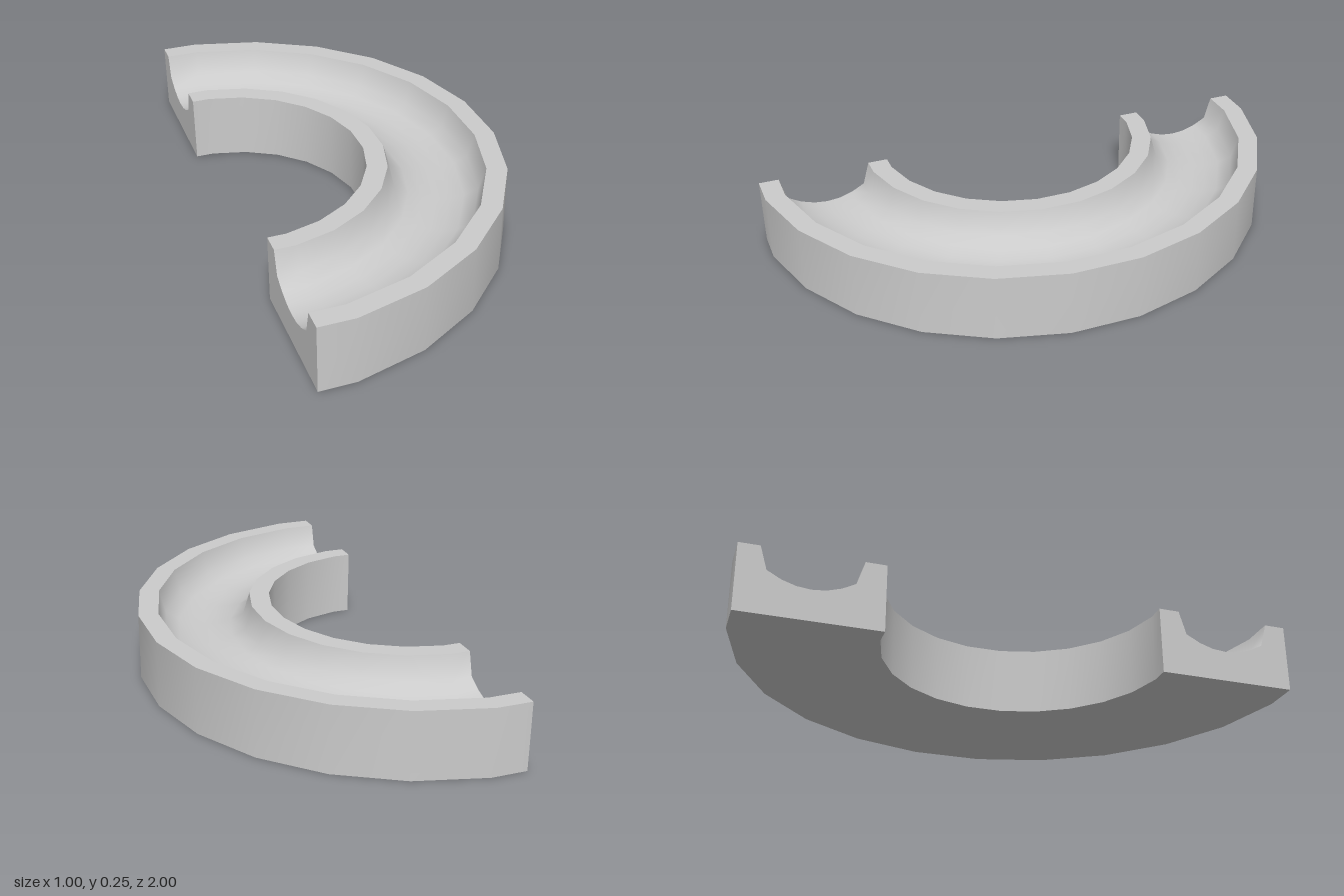
import * as THREE from 'three';
import { toCreasedNormals } from 'three/addons/utils/BufferGeometryUtils.js';

const SEGMENTS = 12; // full 15 degree facets; the two end facets are halved
const STEP = Math.PI / SEGMENTS;

// Cross-section of the track: x is the bend radius, y is the height
function trackProfile() {
  const mid = 0.75;
  const half = [[0.25, 0], [0.25, 0.25], [0.175, 0.25], [0.15, 0.163], [0.1, 0.136], [0.05, 0.12]];
  const outer = half.map(([d, y]) => new THREE.Vector2(mid + d, y));
  const inner = half.map(([d, y]) => new THREE.Vector2(mid - d, y)).reverse();
  return new THREE.Shape([...outer, new THREE.Vector2(mid, 0.115), ...inner]);
}

export function createModel() {
  const group = new THREE.Group();
  group.name = 'curvedTrack';

  // Extrude straight, one unit per section, then bend into a half circle
  const steps = SEGMENTS + 1;
  const geometry = new THREE.ExtrudeGeometry(trackProfile(), { depth: steps, steps, bevelEnabled: false });
  const pos = geometry.attributes.position;
  for (let i = 0; i < pos.count; i++) {
    const section = Math.round(pos.getZ(i));
    const isEnd = section === 0 || section === steps;
    const angle = isEnd ? Math.sign(section - 1) * Math.PI / 2 : -Math.PI / 2 + (section - 0.5) * STEP;
    const r = pos.getX(i) / (isEnd ? 1 : Math.cos(STEP / 2));
    pos.setXYZ(i, r * Math.cos(angle) - 0.5, pos.getY(i), r * Math.sin(angle));
  }

  // Smooth along the bend and in the groove, sharp at the rims and ends
  const track = new THREE.Mesh(
    toCreasedNormals(geometry, THREE.MathUtils.degToRad(55)),
    new THREE.MeshStandardMaterial({ color: 0xcccccc })
  );
  track.name = 'groovedTrack';
  group.add(track);
  return group;
}
